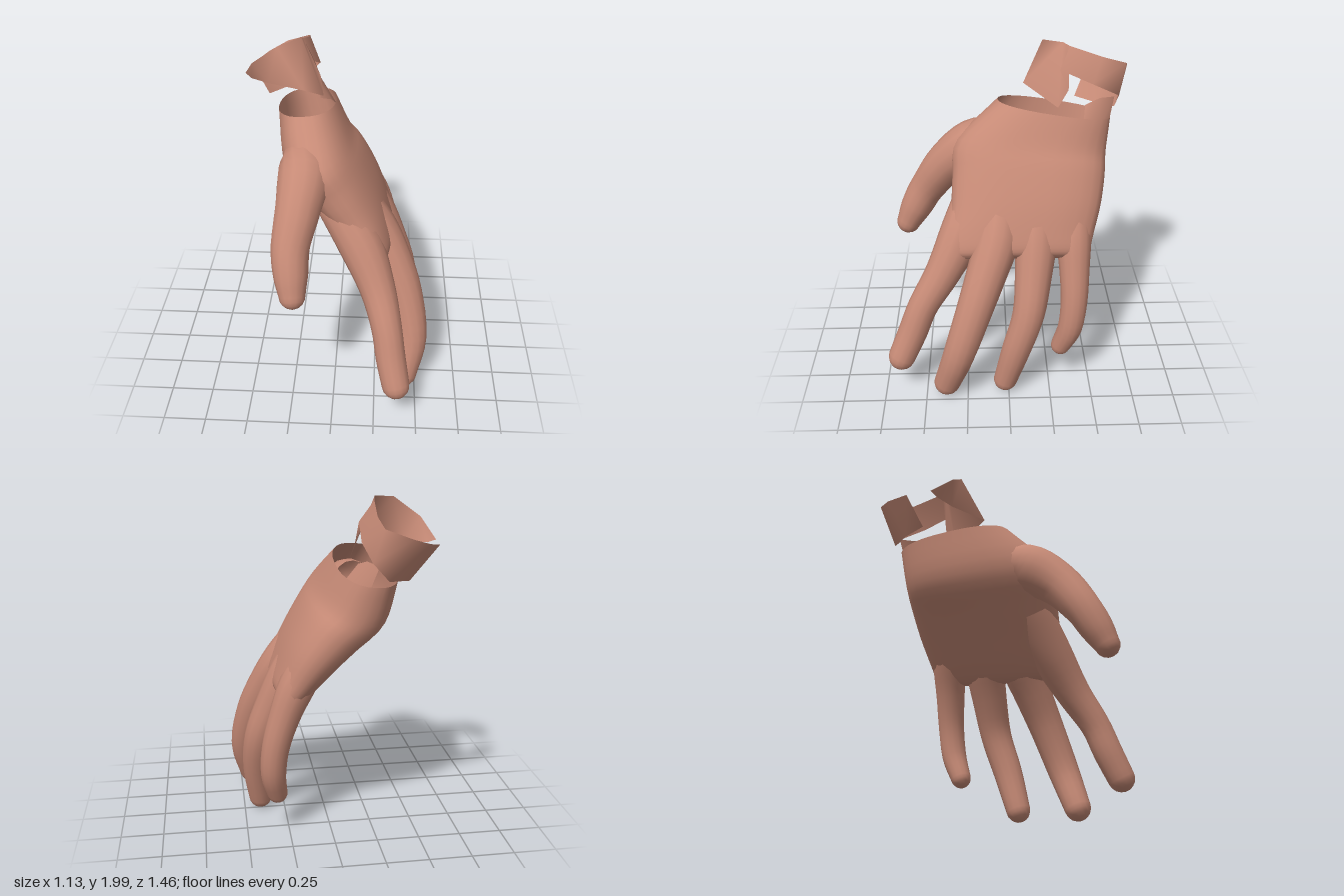
import * as THREE from 'three';

const skin = new THREE.MeshStandardMaterial({ color: 0xc68a76, side: THREE.DoubleSide });
skin.name = 'skin';

const V = (p) => new THREE.Vector3(p[0], p[1], p[2]);

// Joins rows of points into a smooth skin; each row may wrap round, the last may be closed
function loft(rows, wrap, cap) {
  const n = rows[0].length, pos = [], idx = [];
  rows.forEach((row) => row.forEach((p) => pos.push(p.x, p.y, p.z)));
  for (let i = 0; i < rows.length - 1; i++) {
    for (let j = 0; j < (wrap ? n : n - 1); j++) {
      const k = (j + 1) % n, a = i * n, b = a + n;
      idx.push(a + j, a + k, b + j, a + k, b + k, b + j);
    }
  }
  if (cap) {
    const c = new THREE.Vector3();
    const last = rows[rows.length - 1];
    last.forEach((p) => c.addScaledVector(p, 1 / n));
    pos.push(c.x, c.y, c.z);
    const b = (rows.length - 1) * n;
    for (let j = 0; j < n; j++) idx.push(b + j, b + (j + 1) % n, rows.length * n);
  }
  const g = new THREE.BufferGeometry();
  g.setAttribute('position', new THREE.Float32BufferAttribute(pos, 3));
  g.setIndex(idx);
  g.computeVertexNormals();
  return g;
}

// Tapered tube with a rounded tip; each station is [x, y, z, radius]
function digit(stations) {
  const SIDES = 14, STEPS = 20;
  const path = new THREE.CatmullRomCurve3(stations.map(V), false, 'catmullrom');
  const radius = new THREE.CatmullRomCurve3(stations.map((s) => V([s[3], 0, 0])), false, 'catmullrom');
  const ring = (c, dir, r) => {
    const u = new THREE.Vector3(0, 0, 1).addScaledVector(dir, -dir.z).normalize();
    const w = new THREE.Vector3().crossVectors(dir, u);
    return Array.from({ length: SIDES }, (_, j) => {
      const a = (j / SIDES) * Math.PI * 2;
      return c.clone().addScaledVector(u, r * Math.cos(a)).addScaledVector(w, r * Math.sin(a));
    });
  };
  const rows = [];
  for (let i = 0; i <= STEPS; i++) {
    const t = i / STEPS;
    rows.push(ring(path.getPoint(t), path.getTangent(t), radius.getPoint(t).x));
  }
  const end = path.getPoint(1), dir = path.getTangent(1), r = stations[stations.length - 1][3];
  for (let i = 1; i <= 4; i++) {
    const a = (i / 4.4) * Math.PI / 2;
    rows.push(ring(end.clone().addScaledVector(dir, r * Math.sin(a)), dir, r * Math.cos(a)));
  }
  return loft(rows, true, true);
}

// Palm: flattened sections [x, y, z, half width, half thickness, tilt], open at the wrist
function palm() {
  const S = [
    [-0.19, 1.62, -0.285, 0.335, 0.17, 0.17],
    [-0.12, 1.41, -0.15, 0.445, 0.205, 0.1],
    [-0.01, 1.27, -0.13, 0.45, 0.19, 0.03],
    [0.10, 1.12, -0.11, 0.44, 0.165, 0],
    [0.19, 0.98, -0.075, 0.43, 0.135, 0],
    [0.25, 0.89, -0.065, 0.41, 0.1, 0],
    [0.27, 0.86, -0.065, 0.37, 0.04, 0],
  ];
  const path = new THREE.CatmullRomCurve3(S.map(V), false, 'catmullrom');
  const size = new THREE.CatmullRomCurve3(S.map((s) => V(s.slice(3))), false, 'catmullrom');
  const SIDES = 28, STEPS = 24, rows = [];
  const pow = (v) => Math.sign(v) * Math.abs(v) ** 0.85;
  for (let i = 0; i <= STEPS; i++) {
    const c = path.getPoint(i / STEPS), s = size.getPoint(i / STEPS);
    // the wrist section lies nearly level, the later ones square to the palm
    const lean = THREE.MathUtils.lerp(0.08, 0.53, Math.min(1, i / 7));
    rows.push(Array.from({ length: SIDES }, (_, j) => {
      const a = (j / SIDES) * Math.PI * 2;
      const across = s.x * pow(Math.cos(a)), out = s.y * pow(Math.sin(a));
      return new THREE.Vector3(c.x + Math.cos(lean) * out,
        c.y + Math.sin(lean) * out + s.z * across, c.z + across);
    }));
  }
  return loft(rows, true, true);
}

export function createModel() {
  const group = new THREE.Group();
  group.name = 'hand';
  const add = (name, geometry) => {
    const mesh = new THREE.Mesh(geometry, skin);
    mesh.name = name;
    group.add(mesh);
  };

  add('palm', palm());

  // Thumb and the four fingers, rooted inside the palm
  const digits = {
    thumb: [[-0.18, 1.47, 0.01, 0.11], [-0.175, 1.4, 0.19, 0.15], [-0.2, 1.27, 0.355, 0.13],
      [-0.235, 1.1, 0.48, 0.11], [-0.23, 0.96, 0.56, 0.098], [-0.22, 0.855, 0.615, 0.075]],
    indexFinger: [[0.0, 1.2, 0.17, 0.12], [0.145, 0.98, 0.265, 0.13], [0.25, 0.76, 0.385, 0.105],
      [0.31, 0.57, 0.505, 0.09], [0.34, 0.4, 0.575, 0.088], [0.375, 0.245, 0.645, 0.082]],
    middleFinger: [[0.08, 1.18, 0.03, 0.12], [0.225, 0.98, 0.06, 0.13], [0.335, 0.79, 0.13, 0.118],
      [0.42, 0.59, 0.205, 0.106], [0.47, 0.33, 0.295, 0.095], [0.43, 0.09, 0.375, 0.08]],
    ringFinger: [[0.08, 1.18, -0.16, 0.12], [0.21, 0.98, -0.165, 0.125], [0.32, 0.76, -0.145, 0.108],
      [0.4, 0.55, -0.115, 0.095], [0.42, 0.32, -0.045, 0.087], [0.4, 0.08, 0.02, 0.072]],
    littleFinger: [[0.09, 1.16, -0.38, 0.1], [0.2, 0.97, -0.385, 0.105], [0.275, 0.79, -0.39, 0.09],
      [0.33, 0.6, -0.39, 0.08], [0.345, 0.42, -0.37, 0.074], [0.32, 0.27, -0.32, 0.06]],
  };
  for (const [name, stations] of Object.entries(digits)) add(name, digit(stations));

  // Torn wrist band: upper and lower rims, open on one side
  const upper = [[-0.57, 1.76, -0.36], [-0.51, 1.87, -0.24], [-0.36, 1.98, -0.22], [-0.23, 2.0, -0.33],
    [-0.225, 1.99, -0.35], [-0.22, 1.98, -0.37], [-0.2, 1.92, -0.56], [-0.21, 1.88, -0.7],
    [-0.35, 1.83, -0.73], [-0.46, 1.79, -0.65], [-0.55, 1.76, -0.51]];
  const lower = [[-0.53, 1.74, -0.33], [-0.42, 1.74, -0.26], [-0.2, 1.77, -0.1], [-0.1, 1.65, -0.3],
    [-0.12, 1.75, -0.36], [-0.15, 1.86, -0.31], [-0.13, 1.78, -0.5], [-0.16, 1.7, -0.66],
    [-0.25, 1.6, -0.65], [-0.38, 1.58, -0.55], [-0.44, 1.6, -0.43]];
  add('wristBand', loft([upper.map(V), lower.map(V)], false, false));

  // Ragged flap standing up from the wrist opening
  add('wristFlap', loft([
    [[-0.12, 1.66, -0.46], [-0.15, 1.69, -0.55], [-0.2, 1.68, -0.64]].map(V),
    [[-0.03, 1.54, -0.44], [-0.07, 1.52, -0.54], [-0.14, 1.5, -0.6]].map(V),
  ], false, false));

  return group;
}
